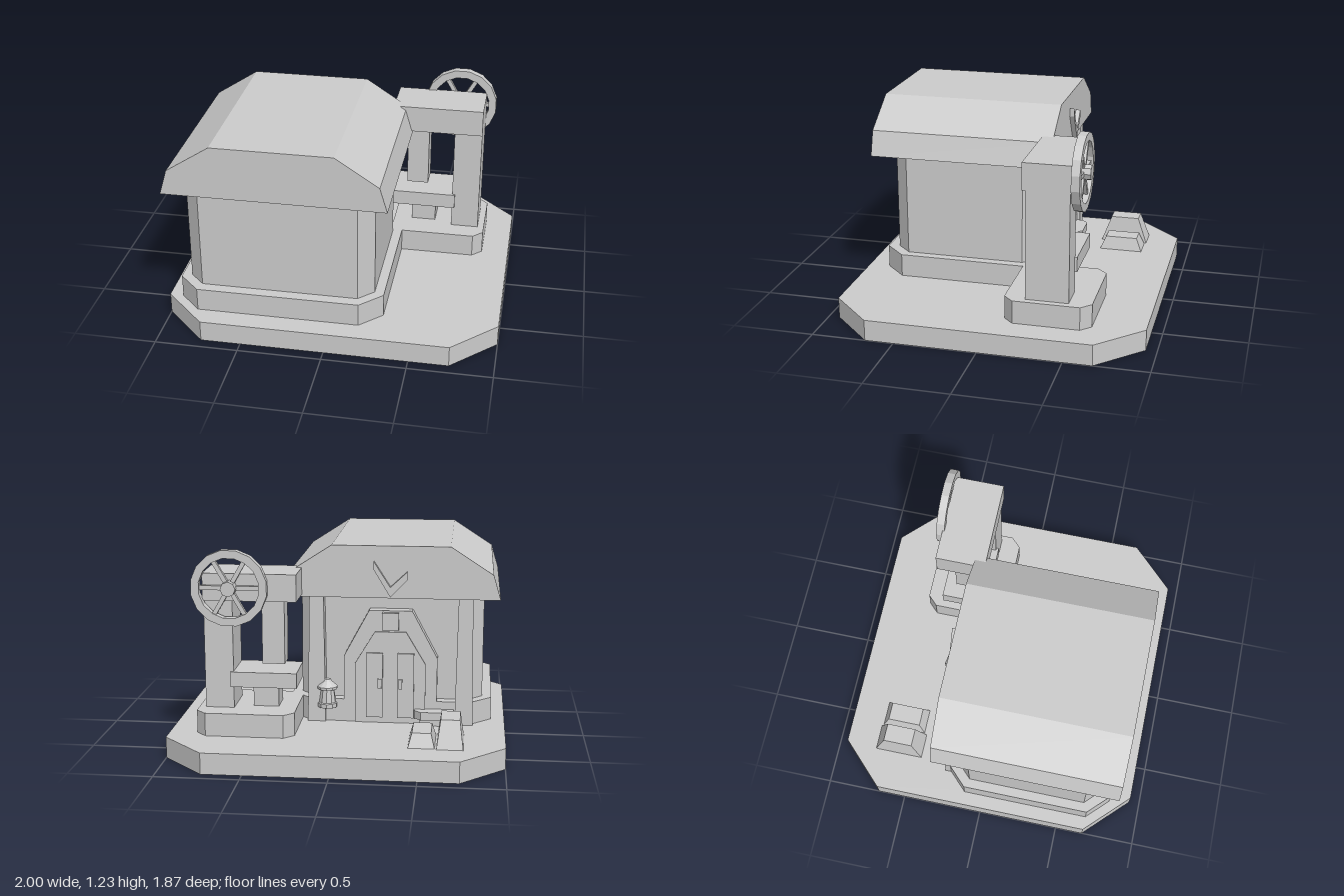
import * as THREE from 'three';

const stone = new THREE.MeshStandardMaterial({ color: 0xcccccc, side: THREE.DoubleSide });
stone.name = 'paleGrey';

export function createModel() {
  const model = new THREE.Group();
  model.name = 'workshop';

  const add = (name, geometry, parent = model) => {
    const mesh = new THREE.Mesh(geometry, stone);
    mesh.name = name;
    parent.add(mesh);
    return mesh;
  };
  const group = (name) => {
    const g = new THREE.Group();
    g.name = name;
    model.add(g);
    return g;
  };
  // box from its limits along each axis
  const box = (name, [x0, x1], [y0, y1], [z0, z1], parent) => {
    const g = new THREE.BoxGeometry(x1 - x0, y1 - y0, z1 - z0);
    g.translate((x0 + x1) / 2, (y0 + y1) / 2, (z0 + z1) / 2);
    return add(name, g, parent);
  };
  // outline in x and y, extruded from z0 to z1
  const plate = (name, points, z0, z1, parent) => {
    const shape = new THREE.Shape(points.map(([x, y]) => new THREE.Vector2(x, y)));
    const g = new THREE.ExtrudeGeometry(shape, { depth: z1 - z0, bevelEnabled: false });
    g.translate(0, 0, z0);
    return add(name, g, parent);
  };
  // the same geometry without the faces lying at height y
  const withoutFloor = (geometry, y) => {
    const p = geometry.attributes.position, kept = [];
    for (let i = 0; i < p.count; i += 3) {
      const corners = [i, i + 1, i + 2];
      if (corners.every((k) => Math.abs(p.getY(k) - y) < 1e-4)) continue;
      corners.forEach((k) => kept.push(p.getX(k), p.getY(k), p.getZ(k)));
    }
    const g = new THREE.BufferGeometry();
    g.setAttribute('position', new THREE.Float32BufferAttribute(kept, 3));
    g.computeVertexNormals();
    return g;
  };
  // upright block with its four vertical corners cut off, open underneath
  const cutBlock = (name, [x0, x1], [y0, y1], [z0, z1], c, parent) => {
    const w = (x1 - x0) / 2, d = (z1 - z0) / 2;
    const outline = [[-w + c, -d], [w - c, -d], [w, -d + c], [w, d - c],
      [w - c, d], [-w + c, d], [-w, d - c], [-w, -d + c]];
    const shape = new THREE.Shape(outline.map(([x, y]) => new THREE.Vector2(x, y)));
    const g = new THREE.ExtrudeGeometry(shape, { depth: y1 - y0, bevelEnabled: false });
    g.rotateX(-Math.PI / 2).translate((x0 + x1) / 2, y0, (z0 + z1) / 2);
    return add(name, withoutFloor(g, y0), parent);
  };
  // box whose top is drawn in by insets along x and z
  const taperedBox = (name, [x0, x1], [y0, y1], [z0, z1], ix, iz, parent) => {
    const w = x1 - x0, h = y1 - y0, d = z1 - z0;
    let g = new THREE.BoxGeometry(w, h, d);
    const p = g.attributes.position;
    for (let i = 0; i < p.count; i++) {
      if (p.getY(i) > 0) {
        p.setX(i, p.getX(i) * (1 - 2 * ix / w));
        p.setZ(i, p.getZ(i) * (1 - 2 * iz / d));
      }
    }
    g = g.toNonIndexed();
    g.computeVertexNormals();
    g.translate((x0 + x1) / 2, (y0 + y1) / 2, (z0 + z1) / 2);
    return add(name, g, parent);
  };

  // ground slab and house
  const cx = -0.3;
  cutBlock('baseSlab', [-1, 1], [0, 0.128], [-0.934, 0.934], 0.262);
  cutBlock('houseFoundation', [-0.917, 0.317], [0.128, 0.268], [-0.245, 0.803], 0.13);
  cutBlock('houseWalls', [-0.86, 0.26], [0.268, 0.915], [-0.18, 0.735], 0.09);
  plate('roof', [[-0.955, 0.914], [0.355, 0.914], [0.31, 1.065], [0.055, 1.23],
    [-0.655, 1.23], [-0.91, 1.065]], -0.283, 0.835);

  // chevron ornament on the back gable
  plate('gableChevron', [[cx, 0.925], [-0.2, 1.09], [-0.2, 1.14], [cx, 0.985],
    [-0.4, 1.08], [-0.4, 1.03]], -0.312, -0.28);

  // doorway
  const doorway = group('doorway');
  const arch = (name, w, t, shoulder, top, z0, z1) => plate(name, [[cx - w, 0.128], [cx + w, 0.128],
    [cx + w, shoulder], [cx + t, top], [cx - t, top], [cx - w, shoulder]], z0, z1, doorway);
  arch('outerArch', 0.285, 0.13, 0.54, 0.83, -0.248, -0.17);
  arch('innerArch', 0.215, 0.095, 0.5, 0.7, -0.258, -0.2);
  box('keystone', [cx - 0.05, cx + 0.05], [0.715, 0.82], [-0.278, -0.2], doorway);
  for (const s of [-1, 1]) {
    const side = (a, b) => [cx + s * a, cx + s * b].sort((p, q) => p - q);
    box('doorLeaf', side(0.045, 0.145), [0.165, 0.57], [-0.272, -0.24], doorway);
    box('doorHandle', side(0.052, 0.075), [0.35, 0.41], [-0.282, -0.265], doorway);
    taperedBox('backPilaster', side(0.395, 0.505), [0.128, 0.92], [-0.265, -0.153], 0.012, 0.008);
  }

  // bench beside the door
  const bench = group('bench');
  cutBlock('benchTop', [-0.69, -0.45], [0.17, 0.22], [-0.325, -0.2], 0.04, bench);
  box('benchFoot', [-0.66, -0.48], [0.128, 0.17], [-0.3, -0.2], bench);

  // lantern beside the door
  const lanternProfile = [[0, 0], [0.06, 0], [0.06, 0.025], [0.052, 0.03], [0.042, 0.11],
    [0.0625, 0.115], [0.0625, 0.13], [0.028, 0.16], [0.02, 0.175], [0, 0.175]];
  const lanternGeo = new THREE.LatheGeometry(
    lanternProfile.map(([x, y]) => new THREE.Vector2(x, y)), 10).toNonIndexed();
  lanternGeo.computeVertexNormals();
  add('lantern', lanternGeo).position.set(0.085, 0.22, -0.248);

  // ingots on the slab
  taperedBox('tallIngot', [-0.755, -0.6], [0.128, 0.29], [-0.738, -0.438], 0.022, 0.06);
  taperedBox('lowIngot', [-0.59, -0.435], [0.128, 0.21], [-0.728, -0.455], 0.022, 0.035);

  // power hammer
  const press = group('powerHammer');
  cutBlock('pressFooting', [0.245, 0.832], [0.128, 0.268], [-0.625, -0.108], 0.06, press);
  box('pressColumn', [0.62, 0.792], [0.268, 0.95], [-0.492, -0.235], press);
  box('pressBeam', [0.235, 0.792], [0.927, 1.09], [-0.517, -0.215], press);
  box('hammerHead', [0.32, 0.455], [0.53, 0.94], [-0.43, -0.295], press);
  box('anvilTable', [0.24, 0.637], [0.4, 0.492], [-0.507, -0.22], press);
  box('anvilStand', [0.357, 0.51], [0.26, 0.41], [-0.44, -0.285], press);

  // flywheel: rim, six spokes and hub
  const wheel = group('flywheel');
  wheel.position.set(0.628, 1.008, -0.53);
  const ring = (r) => Array.from({ length: 16 }, (_, i) => {
    const a = (i + 0.5) / 16 * Math.PI * 2;
    return new THREE.Vector2(Math.cos(a) * r, Math.sin(a) * r);
  });
  const rim = new THREE.Shape(ring(0.228));
  rim.holes.push(new THREE.Path(ring(0.18).reverse()));
  add('wheelRim', new THREE.ExtrudeGeometry(rim, { depth: 0.05, bevelEnabled: false })
    .translate(0, 0, -0.025), wheel);
  for (let i = 0; i < 6; i++) {
    add('wheelSpoke', new THREE.BoxGeometry(0.18, 0.026, 0.026)
      .translate(0.095, 0, 0).rotateZ(i * Math.PI / 3), wheel);
  }
  const hub = new THREE.CylinderGeometry(0.045, 0.045, 0.09, 8).toNonIndexed();
  hub.computeVertexNormals();
  hub.rotateX(Math.PI / 2).translate(0, 0, -0.007);
  add('wheelHub', hub, wheel);

  return model;
}
